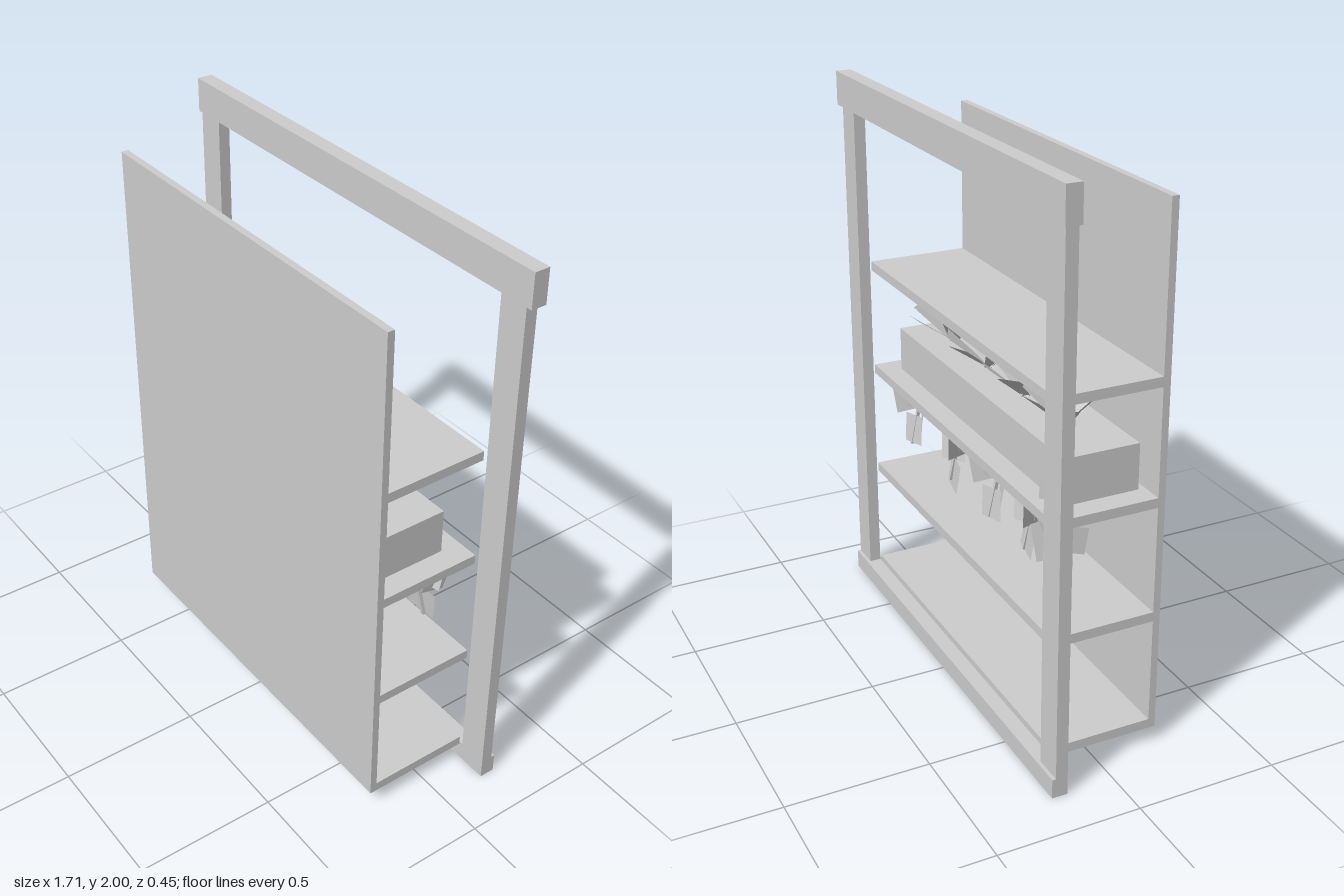
import * as THREE from 'three';

export function createModel() {
  const model = new THREE.Group();
  const grey = new THREE.MeshStandardMaterial({ color: 0xcccccc, side: THREE.DoubleSide });
  grey.name = 'plain grey';

  // Box given by its minimum and maximum corners
  const box = (name, x0, x1, y0, y1, z0, z1) => {
    const mesh = new THREE.Mesh(new THREE.BoxGeometry(x1 - x0, y1 - y0, z1 - z0), grey);
    mesh.position.set((x0 + x1) / 2, (y0 + y1) / 2, (z0 + z1) / 2);
    mesh.name = name;
    model.add(mesh);
  };

  // Closed panel and shelves
  box('panel', -0.715, 0.715, 0.06, 1.88, 0.2, 0.225);
  [0.06, 0.47, 0.88, 1.288].forEach((y, i) =>
    box('shelf' + (i + 1), -0.715, 0.715, y, y + 0.034, -0.17, 0.2));

  // Free-standing face frame
  box('frameTop', -0.855, 0.855, 1.88, 2, -0.225, -0.17);
  box('frameBottom', -0.835, 0.835, 0, 0.07, -0.225, -0.17);
  for (const s of [-1, 1]) {
    const a = s * 0.73, b = s * 0.835;
    box(s > 0 ? 'postLeft' : 'postRight', Math.min(a, b), Math.max(a, b), 0.07, 1.88, -0.212, -0.17);
  }

  // Planter on the middle shelf
  box('planter', -0.635, 0.635, 0.914, 1.075, -0.095, 0.175);

  // Flat leaf growing from its base along +y, narrower at the base
  const leaf = (w, h, taper) => {
    const g = new THREE.PlaneGeometry(w, h).translate(0, h / 2, 0);
    const p = g.attributes.position;
    for (let i = 0; i < p.count; i++) if (p.getY(i) < 0.01) p.setX(i, p.getX(i) * taper);
    return new THREE.Mesh(g, grey);
  };

  // Four rosettes of spreading leaves: [azimuth, tilt from vertical, length]
  const spread = [[0.1, 0.93, 0.2], [1.2, 0.8, 0.18], [2.3, 0.85, 0.19],
    [3.2, 0.95, 0.2], [4.2, 0.75, 0.19], [5.3, 0.85, 0.19]];
  [0.42, 0.14, -0.14, -0.41].forEach((x, k) => {
    const plant = new THREE.Group();
    plant.name = 'rosette' + (k + 1);
    plant.position.set(x, 1.075, 0.03);
    spread.forEach(([az, tilt, len]) => {
      const m = leaf(0.085, len, 0.4);
      m.name = 'rosetteLeaf';
      m.rotation.set(tilt, az + k * 0.35, 0, 'YXZ');
      plant.add(m);
    });
    model.add(plant);
  });

  // Trailing strands below the shelf; leaves: [dx, bottom y, z, yaw, pitch, width, height]
  const strand = [
    [0.03, 0.77, -0.07, 0.3, -0.2, 0.1, 0.11],
    [-0.03, 0.67, -0.06, -0.4, 0.15, 0.11, 0.11],
    [0.05, 0.72, -0.08, 1.4, 0.2, 0.08, 0.13],
    [-0.05, 0.78, -0.04, 1.1, -0.1, 0.06, 0.1],
    [0, 0.58, -0.08, 0.15, 0.12, 0.11, 0.11],
  ];
  [[0.57, 0.05], [0.22, 0.02], [-0.1, 0.04], [-0.36, 0.04], [-0.57, -0.05]].forEach(([x, lift], k) => {
    const plant = new THREE.Group();
    plant.name = 'trailingPlant' + (k + 1);
    strand.forEach(([dx, y, z, yaw, pitch, w, h], i) => {
      const m = leaf(w, h, 1);
      m.name = 'trailingLeaf';
      const flip = k % 2 ? -1 : 1;
      m.position.set(x + dx * flip, Math.min(y + lift, 0.875 - h), z);
      m.rotation.set(pitch, yaw * flip, 0.12 * flip * (i % 2 ? 1 : -1), 'YXZ');
      plant.add(m);
    });
    // Thin hanging stem
    const stem = new THREE.Mesh(new THREE.BoxGeometry(0.012, 0.26, 0.012), grey);
    stem.name = 'stem';
    stem.position.set(x, 0.75, -0.06);
    stem.rotation.set(0.15, 0, 0.12);
    plant.add(stem);
    model.add(plant);
  });

  // Small leaf standing at the back edge of the planter
  const back = leaf(0.05, 0.07, 1);
  back.name = 'backLeaf';
  back.position.set(-0.57, 0.914, -0.115);
  back.rotation.y = 0.9;
  model.add(back);

  return model;
}
